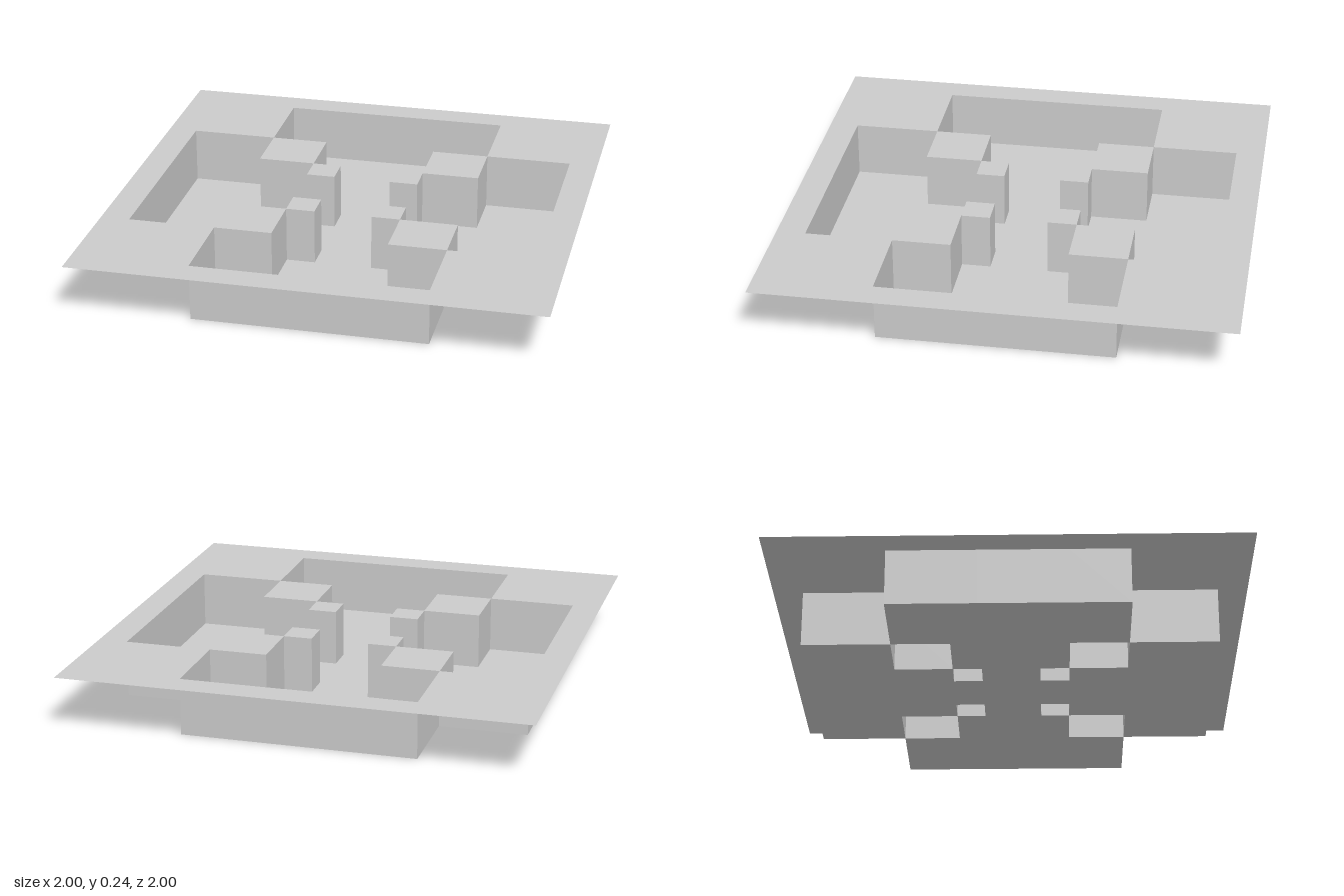
import * as THREE from 'three';

const HEIGHT = 0.243;
const LINES = [-1, -0.875, -0.5, -0.25, -0.125, 0.125, 0.25, 0.5, 0.875, 1];
const CELLS = LINES.length - 1;

// Which part a grid cell belongs to, from the distances of its centre to both axes
function partAt(i, j) {
  const x = Math.abs(LINES[i] + LINES[i + 1]) / 2;
  const z = Math.abs(LINES[j] + LINES[j + 1]) / 2;
  const far = Math.max(x, z), near = Math.min(x, z);
  if (far > 0.875 || near > 0.5) return 'rim';
  if (near > 0.25 && far < 0.5) return 'largeBlocks';
  if (near > 0.125 && far < 0.25) return 'smallBlocks';
  return 'floor';
}

// Flat-shaded sheet from a list of four-cornered faces
function sheet(name, quads) {
  const positions = quads.flatMap(([a, b, c, d]) => [a, b, c, a, c, d].flat());
  const geometry = new THREE.BufferGeometry();
  geometry.setAttribute('position', new THREE.Float32BufferAttribute(positions, 3));
  geometry.computeVertexNormals();
  const material = new THREE.MeshStandardMaterial({
    color: 0xcccccc, flatShading: true, side: THREE.DoubleSide,
  });
  const mesh = new THREE.Mesh(geometry, material);
  mesh.name = name;
  return mesh;
}

export function createModel() {
  const parts = { rim: [], basinWalls: [], floor: [], largeBlocks: [], smallBlocks: [] };

  // Upright face between two neighbouring cells, facing the lower one
  function addWall(part, other, x0, z0, x1, z1) {
    if ((part === 'floor') === (other === 'floor')) return;
    const raised = part === 'floor' ? other : part;
    if (part === 'floor') [x0, z0, x1, z1] = [x1, z1, x0, z0];
    parts[raised === 'rim' ? 'basinWalls' : raised].push(
      [[x0, 0, z0], [x1, 0, z1], [x1, HEIGHT, z1], [x0, HEIGHT, z0]]);
  }

  for (let i = 0; i < CELLS; i++) {
    for (let j = 0; j < CELLS; j++) {
      const part = partAt(i, j);
      const [x0, x1, z0, z1] = [LINES[i], LINES[i + 1], LINES[j], LINES[j + 1]];

      // Level face: floor at the bottom, rim and block tops above
      const y = part === 'floor' ? 0 : HEIGHT;
      parts[part].push([[x0, y, z0], [x0, y, z1], [x1, y, z1], [x1, y, z0]]);

      // Walls towards the next cell along x and along z
      if (i + 1 < CELLS) addWall(part, partAt(i + 1, j), x1, z1, x1, z0);
      if (j + 1 < CELLS) addWall(part, partAt(i, j + 1), x0, z1, x1, z1);
    }
  }

  const model = new THREE.Group();
  model.name = 'recessedTray';
  for (const [name, quads] of Object.entries(parts)) model.add(sheet(name, quads));
  return model;
}
